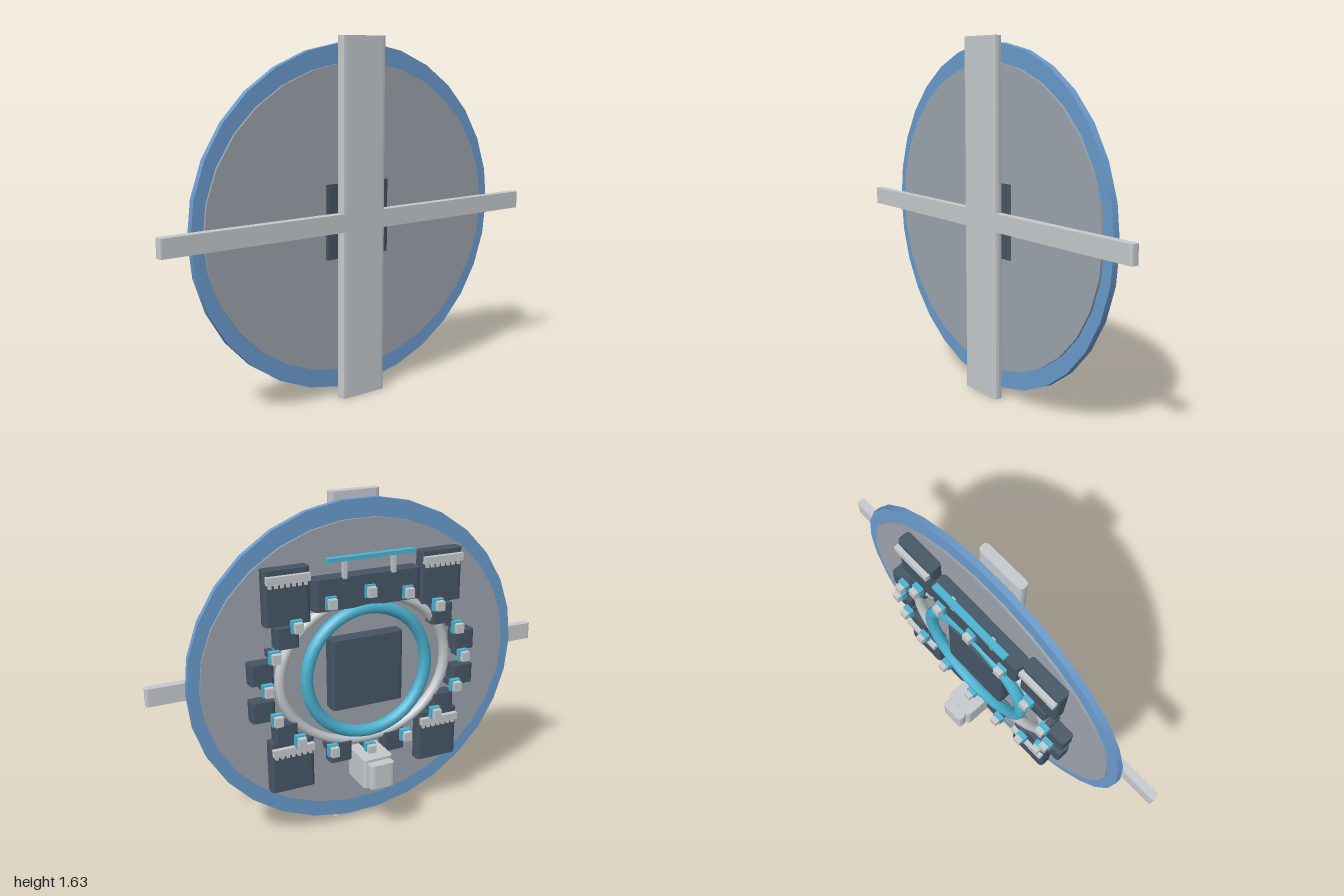
import * as THREE from 'three';

const mat = (name, color) => {
  const m = new THREE.MeshStandardMaterial({ color });
  m.name = name;
  return m;
};

export function createModel() {
  const root = new THREE.Group();
  root.name = 'roundInstrument';
  const blue = mat('rimBlue', 0x6a9bcd);
  const grey = mat('discGrey', 0x9ca3ad);
  const light = mat('lightGrey', 0xc6cacd);
  const dark = mat('darkSlate', 0x465564);
  const teal = mat('teal', 0x4ab4d2);
  const CY = 0.82;

  const add = (name, geo, material, x, y, z) => {
    const m = new THREE.Mesh(geo, material);
    m.name = name;
    m.position.set(x, y, z);
    root.add(m);
    return m;
  };

  // Block whose upright edges are rounded off: rounded plan extruded along y
  const slab = (name, material, [x0, x1], [y0, y1], [z0, z1], r = 0.015) => {
    const w = (x1 - x0) / 2, d = (z1 - z0) / 2, h = y1 - y0;
    const s = new THREE.Shape();
    s.moveTo(-w + r, -d);
    s.lineTo(w - r, -d);
    s.quadraticCurveTo(w, -d, w, -d + r);
    s.lineTo(w, d - r);
    s.quadraticCurveTo(w, d, w - r, d);
    s.lineTo(-w + r, d);
    s.quadraticCurveTo(-w, d, -w, d - r);
    s.lineTo(-w, -d + r);
    s.quadraticCurveTo(-w, -d, -w + r, -d);
    const geo = new THREE.ExtrudeGeometry(s, { depth: h, bevelEnabled: false, curveSegments: 3 });
    geo.translate(0, 0, -h / 2).rotateX(-Math.PI / 2);
    return add(name, geo, material, (x0 + x1) / 2, (y0 + y1) / 2, (z0 + z1) / 2);
  };
  const box = (name, material, w, h, d, x, y, z) =>
    add(name, new THREE.BoxGeometry(w, h, d), material, x, y, z);

  // Elliptical rim and body disc
  const disc = (name, material, rx, ry, depth, z) => {
    const geo = new THREE.CylinderGeometry(1, 1, depth, 30, 1, false, Math.PI / 2);
    geo.rotateX(Math.PI / 2).scale(rx, ry, 1);
    return add(name, geo, material, 0, CY, z);
  };
  disc('rim', blue, 0.835, 0.788, 0.03, 0.088);
  disc('bodyDisc', grey, 0.78, 0.702, 0.052, 0.088);

  // Front cross
  slab('verticalBar', light, [-0.122, 0.122], [0, 1.635], [0.12, 0.167], 0.02);
  slab('horizontalBar', light, [-1, 1], [0.777, 0.86], [0.126, 0.167], 0.012);

  // Central block, passing through the disc
  slab('centralBlock', dark, [-0.18, 0.18], [0.65, 0.99], [-0.012, 0.12], 0.02);

  // Rings on the back
  const outer = new THREE.TorusGeometry(1, 0.06, 8, 40).scale(0.425, 0.355, 0.45);
  add('outerRing', outer, light, 0, CY, 0.025);
  add('innerRing', new THREE.TorusGeometry(0.305, 0.03, 8, 36), teal, 0, CY, -0.002);

  // Upper block with its teal strip
  slab('upperBlock', dark, [-0.265, 0.265], [1.14, 1.285], [-0.02, 0.063], 0.025);
  box('tealStrip', teal, 0.43, 0.018, 0.03, 0, 1.375, -0.033);
  for (const x of [-0.12, 0.12]) box('stripPost', light, 0.02, 0.09, 0.02, x, 1.325, -0.018);

  for (const s of [-1, 1]) {
    const span = (a, b) => (s > 0 ? [a, b] : [-b, -a]);
    // Corner blocks with a light bar and a row of pins
    for (const [y0, y1] of [[1.1, 1.35], [0.29, 0.54]]) {
      slab('cornerBlock', dark, span(0.275, 0.49), [y0, y1], [-0.004, 0.063], 0.02);
      box('cornerBar', light, 0.2, 0.035, 0.026, s * 0.383, y1 - 0.04, -0.014);
      for (let i = 0; i < 7; i++)
        box('cornerPin', light, 0.014, 0.02, 0.016, s * (0.3 + i * 0.0275), y1 - 0.066, -0.008);
    }
    // Small blocks around the edge
    for (const [x, y] of [[0.39, 1.04], [0.515, 0.89], [0.515, 0.71], [0.41, 0.58], [0.14, 0.43]])
      slab('smallBlock', dark, span(x - 0.055, x + 0.055), [y - 0.048, y + 0.048], [-0.01, 0.063]);
  }

  // Sixteen studs in an ellipse
  for (let i = 0; i < 16; i++) {
    const a = (i * Math.PI) / 8;
    const x = 0.5 * Math.cos(a), y = CY + 0.39 * Math.sin(a);
    box('studStem', dark, 0.03, 0.03, 0.075, x, y, 0.027);
    box('studBase', teal, 0.05, 0.058, 0.025, x, y, -0.023);
    box('studCap', light, 0.038, 0.045, 0.028, x, y, -0.047);
  }

  // Connector at the bottom of the back
  slab('connectorBody', light, [-0.075, 0.075], [0.272, 0.417], [-0.12, 0.065], 0.02);
  slab('connectorPlug', light, [-0.062, 0.062], [0.285, 0.405], [-0.168, -0.118], 0.02);

  return root;
}
